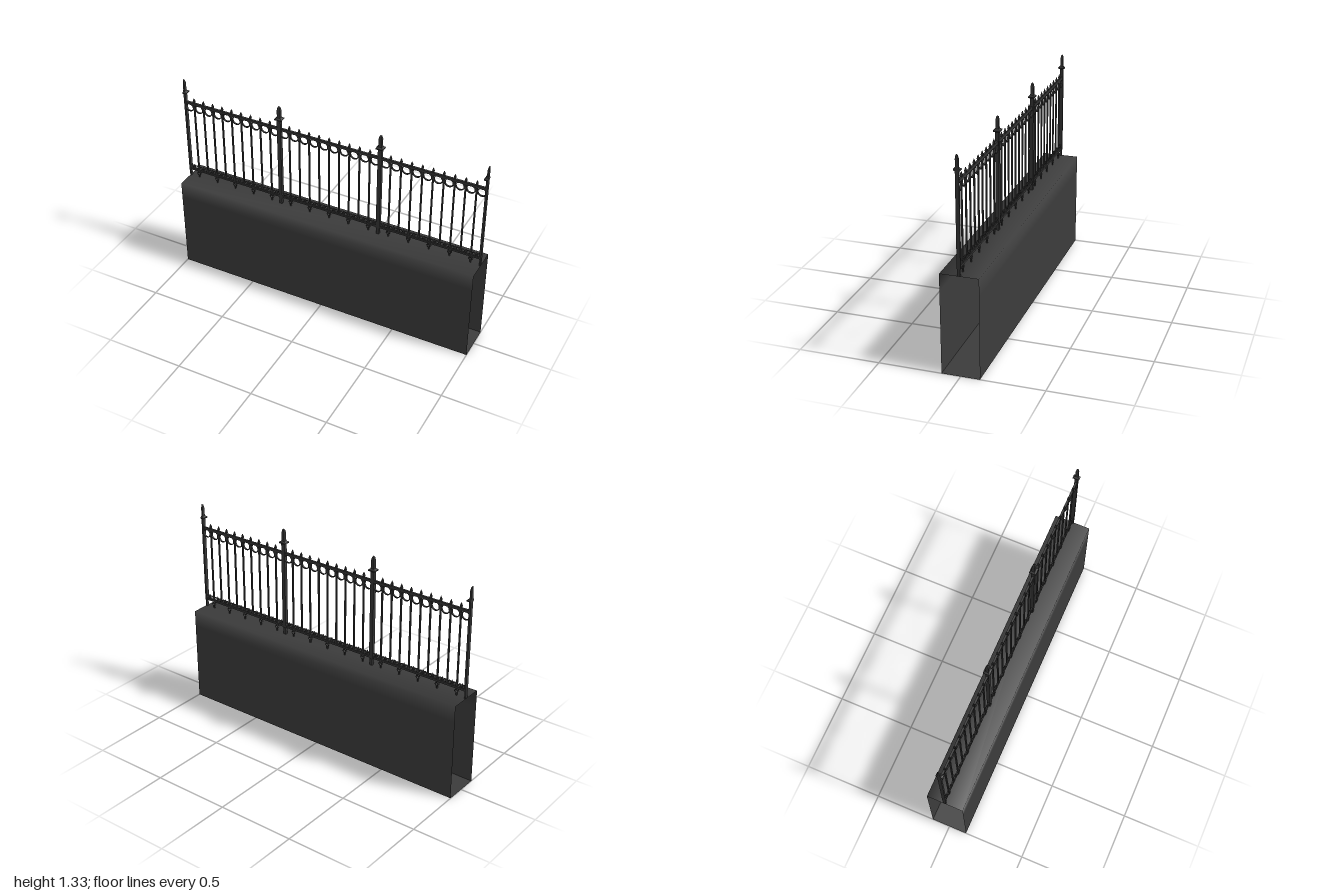
import * as THREE from 'three';

const iron = new THREE.MeshStandardMaterial({ color: 0x363636, side: THREE.DoubleSide });
const stone = new THREE.MeshStandardMaterial({ color: 0x3c3c3c, side: THREE.DoubleSide });

const WALL_TOP = 0.623, HALF_DEPTH = 0.115, BAY = 2 / 3, STEP = BAY / 10;

// Square-section turned piece from [half width, y] pairs, with flat faces
function squareTurned(profile) {
  const pts = profile.map(([r, y]) => new THREE.Vector2(r * Math.SQRT2, y));
  return new THREE.LatheGeometry(pts, 4, Math.PI / 4).toNonIndexed();
}

// Flat hoop facing the front, centred on the origin
function hoop(outer, inner, depth, segments) {
  const s = new THREE.Shape().absarc(0, 0, outer, 0, Math.PI * 2);
  s.holes.push(new THREE.Path().absarc(0, 0, inner, 0, Math.PI * 2, true));
  return new THREE.ExtrudeGeometry(s, { depth, bevelEnabled: false, curveSegments: segments })
    .translate(0, 0, -depth / 2);
}

// Sheet swept along x through [y, z] points, open at both ends
function sheet(profile) {
  const pos = [], idx = [];
  profile.forEach(([y, z], i) => {
    pos.push(-1, y, z, 1, y, z);
    const a = 2 * i;
    if (i) idx.push(a - 2, a - 1, a + 1, a - 2, a + 1, a);
  });
  const g = new THREE.BufferGeometry();
  g.setAttribute('position', new THREE.Float32BufferAttribute(pos, 3));
  g.setIndex(idx);
  g.computeVertexNormals();
  return g;
}

export function createModel() {
  const model = new THREE.Group();
  const add = (name, geo, mat, x = 0, y = 0, z = 0, parent = model) => {
    const m = new THREE.Mesh(geo, mat);
    m.name = name;
    m.position.set(x, y, z);
    parent.add(m);
    return m;
  };
  const group = (name) => {
    const g = new THREE.Group();
    g.name = name;
    model.add(g);
    return g;
  };

  // Hollow wall, open at both ends, with a softly shaded coping band
  const d = HALF_DEPTH, band = 0.515;
  add('wallCoping', sheet([[band, d], [WALL_TOP, d], [WALL_TOP, -d], [band, -d]]), stone);
  add('wallFront', sheet([[0, d], [band, d]]), stone);
  add('wallBack', sheet([[band, -d], [0, -d]]), stone);
  add('wallBottom', sheet([[0, -d], [0, d]]), stone);

  // Posts; the two end posts are cut flush with the wall ends
  const posts = group('posts');
  const postProfile = [[0.0085, WALL_TOP], [0.0085, 0.665], [0.011, 0.667], [0.011, 1.233],
    [0.02, 1.239], [0.021, 1.246], [0.011, 1.254], [0.0095, 1.262], [0.0095, 1.305],
    [0.006, 1.325], [0, 1.333]];
  for (let i = 0; i < 4; i++) {
    const g = squareTurned(postProfile).scale(1.12, 1, 1).translate(-1 + i * BAY, 0, 0);
    const p = g.attributes.position;
    for (let k = 0; k < p.count; k++) p.setX(k, THREE.MathUtils.clamp(p.getX(k), -1, 1));
    g.computeVertexNormals();
    add('post', g, iron, 0, 0, 0, posts);
  }

  // Rails running the full length
  add('topRail', new THREE.BoxGeometry(2, 0.017, 0.013), iron, 0, 1.172);
  add('bottomRail', new THREE.BoxGeometry(2, 0.013, 0.013), iron, 0, 0.675);

  // Shared ornament shapes
  const baluster = squareTurned([[0.0045, 0.67], [0.0045, 1.182], [0.0065, 1.19],
    [0.0045, 1.2], [0, 1.215]]);
  baluster.computeVertexNormals();
  const bigHoop = hoop(0.029, 0.0235, 0.01, 12);
  const smallHoop = hoop(0.0125, 0.0085, 0.008, 6);
  const spike = squareTurned([[0.003, 0.68], [0.003, 0.695], [0.006, 0.699], [0, 0.713]]);
  spike.computeVertexNormals();
  const collar = new THREE.BoxGeometry(0.016, 0.005, 0.01);
  const dropHoop = hoop(0.0155, 0.0085, 0.01, 2);
  const dropStem = new THREE.BoxGeometry(0.007, 0.016, 0.007);
  const dropBar = new THREE.BoxGeometry(0.024, 0.005, 0.008);

  // Balusters, with a drop ornament below every other one
  const balusters = group('balusters');
  const drops = group('dropOrnaments');
  const hoops = group('topHoops');
  const scrolls = group('bottomScrolls');
  for (let i = 0; i < 30; i++) {
    const x = -1 + i * STEP, n = i % 10;
    if (n) add('baluster', baluster, iron, x, 0, 0, balusters);
    if (n % 2) {
      add('dropHoop', dropHoop, iron, x, 0.651, 0, drops);
      add('dropBar', dropBar, iron, x, 0.659, 0, drops);
      add('dropFoot', dropStem, iron, x, 0.63, 0, drops);
    }
    // Hoop and scrolls filling each gap
    const mid = x + STEP / 2;
    add('topHoop', bigHoop, iron, mid, 1.142, 0, hoops);
    add('scrollSpike', spike, iron, mid, 0, 0, scrolls);
    add('scrollCollar', collar, iron, mid, 0.696, 0, scrolls);
    for (const s of [-1, 1]) add('scroll', smallHoop, iron, mid + s * 0.0165, 0.692, 0, scrolls);
  }
  return model;
}
